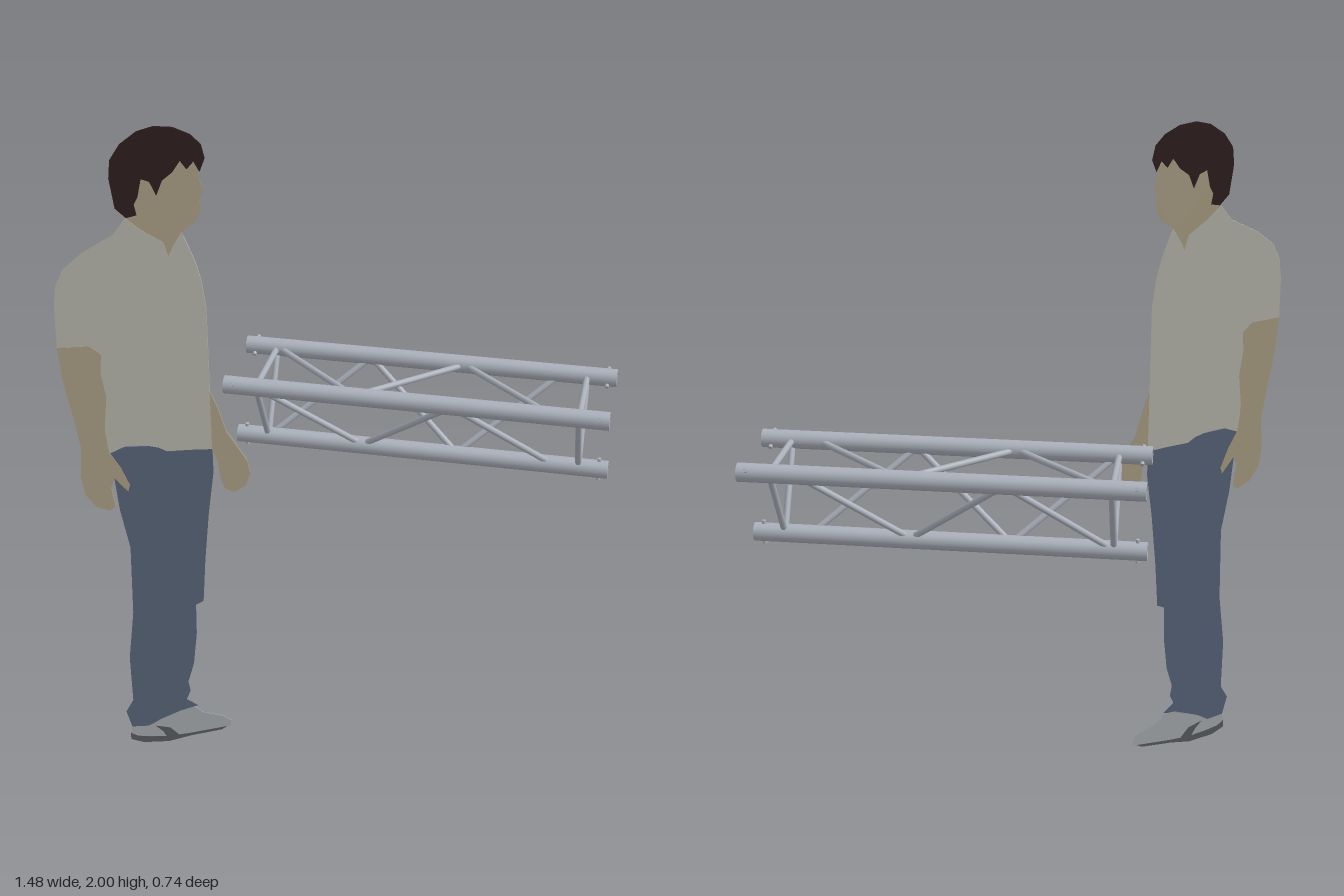
import * as THREE from 'three';

const mat = (name, color) => {
  const m = new THREE.MeshStandardMaterial({ color });
  m.name = name;
  return m;
};

export function createModel() {
  const model = new THREE.Group();
  model.name = 'trussWithStandingFigure';
  const metal = mat('aluminium', 0xaab0ba);
  const shirt = mat('shirtGrey', 0xb0afa5);
  const skin = mat('skin', 0xa3987f);
  const denim = mat('denim', 0x556074);
  const hairMat = mat('hairBrown', 0x2c1c1d);
  const shoeMat = mat('shoeGrey', 0xa0a5a9);
  const soleMat = mat('soleGrey', 0x55575a);

  // ---- Flat cut-out figure, standing on the slanted plane z = -x / 2 ----
  const figure = new THREE.Group();
  figure.name = 'figureCutout';
  model.add(figure);

  // outline: flat list of x, y in hundredths; higher layers lie on both faces of lower ones
  function plate(name, material, layer, outline) {
    const pts = [];
    for (let i = 0; i < outline.length; i += 2) {
      pts.push(new THREE.Vector2(outline[i] / 100, outline[i + 1] / 100));
    }
    const depth = 0.002 * layer;
    const geo = new THREE.ExtrudeGeometry(new THREE.Shape(pts), { depth, bevelEnabled: false });
    const p = geo.attributes.position;
    for (let i = 0; i < p.count; i++) p.setZ(i, p.getZ(i) - depth / 2 - p.getX(i) / 2);
    geo.computeVertexNormals();
    const mesh = new THREE.Mesh(geo, material);
    mesh.name = name;
    figure.add(mesh);
  }

  plate('headAndNeck', skin, 1, [
    -56, 172, -55, 185, -52, 193, -45, 195, -38, 190, -37.8, 185, -36.8, 181, -37.8, 179,
    -37.6, 176, -39, 172.5, -42, 170.5, -42.2, 168, -46, 160, -52, 164]);
  plate('hair', hairMat, 3, [
    -59, 187, -58.5, 192, -56, 196, -52, 199, -48, 200, -43.5, 199.3, -39.5, 197, -37, 194,
    -36.2, 190, -37.5, 186.5, -38.8, 189.5, -40.5, 187.5, -42, 190, -44, 187, -46.5, 185,
    -48, 181, -49.5, 185, -51.5, 186, -52.5, 181, -53.5, 179, -53, 176, -55.5, 175.5, -58, 178.5]);
  plate('shirt', shirt, 2, [
    -55.8, 175.5, -59, 171, -67, 166.5, -71.5, 162.5, -73.5, 158, -74.2, 152, -74.3, 140,
    -66.5, 139.3, -64, 136, -64.5, 120, -63.8, 105, -59, 107, -55, 106.5, -51, 105, -49, 103.5,
    -43, 103, -37.3, 102.3, -37.3, 147, -38.2, 155, -39.5, 161, -41.5, 167, -42.5, 170,
    -44.5, 166.5, -46, 163.3, -47, 167.5, -52, 171.5]);
  plate('rightArm', skin, 3, [
    -74.3, 140, -73.5, 129, -71.8, 118, -70.5, 108, -71.2, 99, -70.5, 93, -68, 88.5, -64.5, 86.5,
    -63, 87.5, -63.8, 94, -62.8, 97, -59.5, 92, -59, 94, -61, 100, -63.6, 105.5, -64.3, 113,
    -63.3, 123, -64.2, 131, -63.8, 136.5, -66.5, 139.3]);
  plate('leftArm', skin, 3, [
    -37.3, 121, -35.5, 115.5, -33.5, 107.5, -30.5, 101.5, -28.3, 97, -27.6, 93, -28.8, 88.8,
    -32, 87, -34.5, 89, -35.5, 93, -36, 98, -37.3, 102]);
  plate('jeans', denim, 1, [
    -63.5, 107, -37.3, 104, -37.3, 94.5, -39, 81, -40.5, 65, -41.5, 50.5, -43.6, 49.5,
    -43.8, 39, -45, 28, -46.8, 21.5, -46.3, 18, -47.5, 15, -44.5, 12, -49.5, 11, -55, 9,
    -58.5, 7, -63, 8, -64.3, 14, -62.2, 18, -62.3, 34, -60.5, 50, -60, 73, -62, 86, -62.7, 95]);
  plate('shoe', shoeMat, 1, [
    -63, 8.2, -58.5, 7.2, -55, 9.2, -48, 12, -45.5, 11.8, -43, 9, -37.5, 6.3, -35.2, 4,
    -35.2, 2.3, -38, 1.2, -47, 0.8, -53, 0, -60, 1.2, -63.5, 3.2]);
  plate('sole', soleMat, 2, [
    -63.5, 5.6, -61.5, 4, -58, 3, -53, 2, -47, 1.8, -36.5, 2.1, -38, 1.2, -47, 0.8,
    -53, 0, -60, 1.2, -63.5, 3.2]);
  plate('shoeStripe', soleMat, 2, [
    -56.5, 6.8, -52.5, 5.2, -50, 1.7, -53.5, 1.9, -54.5, 4.2]);

  // ---- Triangular truss running along x ----
  const truss = new THREE.Group();
  truss.name = 'truss';
  model.add(truss);

  const x0 = -0.4, x1 = 0.737, R = 0.027;
  const chords = [[1.104, -0.058], [1.104, -0.332], [0.866, -0.195]];
  const centre = [1.025, -0.195];
  const at = (x, c) => new THREE.Vector3(x, c[0], c[1]);

  function rod(name, a, b, r) {
    const dir = b.clone().sub(a);
    const mesh = new THREE.Mesh(new THREE.CylinderGeometry(r, r, dir.length(), 14), metal);
    mesh.position.copy(a).add(b).multiplyScalar(0.5);
    mesh.quaternion.setFromUnitVectors(new THREE.Vector3(0, 1, 0), dir.normalize());
    mesh.name = name;
    truss.add(mesh);
  }

  // Tubes with a recessed socket at both ends; doubled points keep the rims crisp
  const L = x1 - x0, r = 0.021, d = 0.04;
  const profile = [[0, d], [r, d], [r, d], [r, 0], [r, 0], [R, 0], [R, 0],
    [R, L], [R, L], [r, L], [r, L], [r, L - d], [r, L - d], [0, L - d]]
    .map(([a, b]) => new THREE.Vector2(a, b));
  const tubeGeo = new THREE.LatheGeometry(profile, 28).rotateZ(-Math.PI / 2);
  for (const c of chords) {
    const tube = new THREE.Mesh(tubeGeo, metal);
    tube.position.copy(at(x0, c));
    tube.name = 'chordTube';
    truss.add(tube);

    // Locking pins through the tube ends, pointing away from the truss axis
    const out = at(0, c).sub(at(0, centre)).normalize().multiplyScalar(0.036);
    for (const x of [x0 + 0.028, x1 - 0.028]) {
      rod('lockingPin', at(x, c).sub(out), at(x, c).add(out), 0.006);
    }
  }

  // Each face: an end strut at both ends and a three-bar zigzag
  const faces = [[1, 0], [0, 2], [2, 1]];
  for (const [i, j] of faces) {
    for (const x of [-0.305, 0.648]) rod('endStrut', at(x, chords[i]), at(x, chords[j]), 0.0095);
    [-0.155, 0.135, 0.423].forEach((x, k) => {
      const h = k % 2 ? -0.15 : 0.15;
      rod('diagonalBrace', at(x - h, chords[i]), at(x + h, chords[j]), 0.0095);
    });
  }
  return model;
}
